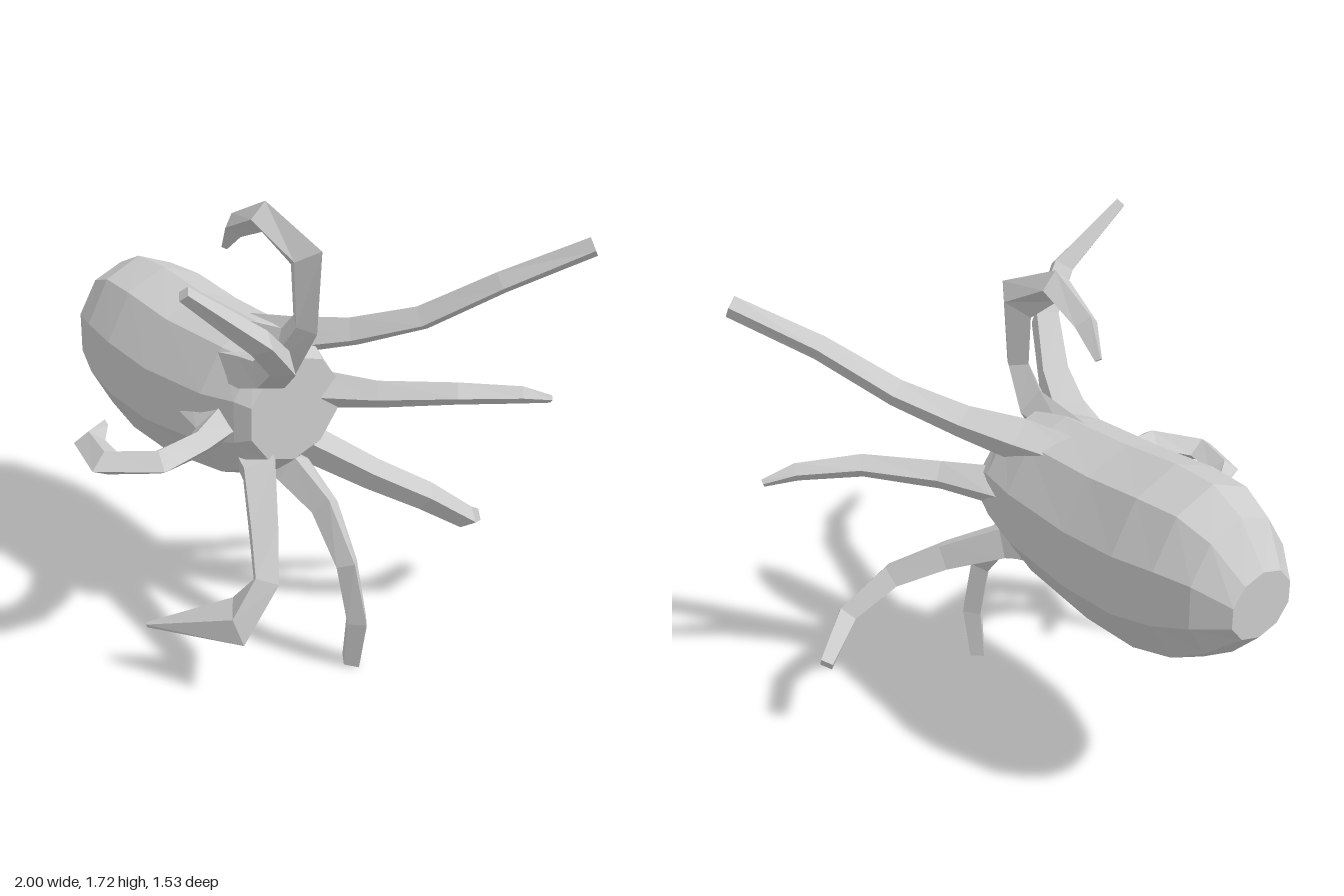
import * as THREE from 'three';

const V = (x, y, z) => new THREE.Vector3(x, y, z);
const AXIS = V(1, 0, 0.3).normalize();

// Closed skin over rings of equal length, each wound counter-clockwise about the path
function loft(name, rings) {
  const n = rings[0].length, last = (rings.length - 1) * n, idx = [];
  for (let i = 0; i < rings.length - 1; i++) {
    for (let j = 0; j < n; j++) {
      const a = i * n + j, b = i * n + (j + 1) % n;
      idx.push(a, b, b + n, a, b + n, a + n);
    }
  }
  for (let j = 1; j < n - 1; j++) {
    idx.push(0, j + 1, j, last, last + j, last + j + 1);
  }
  const geo = new THREE.BufferGeometry().setFromPoints(rings.flat());
  geo.setIndex(idx);
  const flat = geo.toNonIndexed();
  flat.computeVertexNormals();
  const mesh = new THREE.Mesh(flat, new THREE.MeshStandardMaterial({ color: 0xcccccc, flatShading: true }));
  mesh.name = name;
  return mesh;
}

function ring(c, u, v, ru, rv, sides) {
  return Array.from({ length: sides }, (_, j) => {
    const a = j * 2 * Math.PI / sides;
    return c.clone().addScaledVector(u, ru * Math.cos(a)).addScaledVector(v, rv * Math.sin(a));
  });
}

// Four-sided blade through [x, y, z, half width in the bending plane, half width across it]
function arm(name, points) {
  const pts = points.map(p => V(p[0], p[1], p[2])), n = pts.length;
  const across = AXIS.clone().cross(pts[2].clone().sub(pts[0])).normalize();
  const rings = pts.map((p, i) => {
    const t = pts[Math.min(i + 1, n - 1)].clone().sub(pts[Math.max(i - 1, 0)]).normalize();
    const v = across.clone().addScaledVector(t, -across.dot(t)).normalize();
    return ring(p, v.clone().cross(t), v, points[i][3], points[i][4], 4);
  });
  return loft(name, rings);
}

export function createModel() {
  const group = new THREE.Group();
  group.name = 'octopus';

  // Body: centre x, y, z, then half height and half width
  const up = V(0, 1, 0), side = AXIS.clone().cross(up);
  const sections = [
    [-0.965, 0.965, -0.36, 0.12, 0.13],
    [-0.86, 0.98, -0.33, 0.25, 0.21],
    [-0.74, 0.967, -0.295, 0.325, 0.255],
    [-0.58, 0.945, -0.25, 0.35, 0.28],
    [-0.35, 0.925, -0.18, 0.34, 0.28],
    [-0.05, 0.94, -0.10, 0.31, 0.265],
    [0.09, 0.965, -0.07, 0.26, 0.235],
    [0.15, 0.97, -0.06, 0.2, 0.21]
  ];
  group.add(loft('body', sections.map(([x, y, z, h, w]) => ring(V(x, y, z), up, side, h, w, 10))));

  // Eight arms around the mouth, their roots running back into the body
  const arms = {
    upperFrontArm: [[-0.2, 1.1, -0.02, 0.05, 0.06], [0.06, 1.15, 0.08, 0.08, 0.08], [0.21, 1.22, 0.2, 0.07, 0.06],
      [0.36, 1.36, 0.36, 0.065, 0.05], [0.4, 1.5, 0.53, 0.06, 0.045], [0.29, 1.71, 0.76, 0.025, 0.025]],
    topArm: [[-0.15, 1.17, -0.1, 0.07, 0.07], [0.14, 1.2, -0.02, 0.09, 0.06], [0.23, 1.34, 0.01, 0.065, 0.04],
      [0.23, 1.58, 0.01, 0.09, 0.055], [0.04, 1.68, -0.02, 0.055, 0.06], [-0.12, 1.6, -0.08, 0.045, 0.045], [-0.19, 1.5, -0.11, 0.015, 0.015]],
    upperBackArm: [[-0.25, 1.15, -0.19, 0.06, 0.07], [0.05, 1.18, -0.22, 0.08, 0.08], [0.25, 1.22, -0.28, 0.06, 0.06],
      [0.48, 1.3, -0.36, 0.055, 0.05], [0.72, 1.45, -0.47, 0.045, 0.045], [0.98, 1.59, -0.615, 0.03, 0.04]],
    backArm: [[-0.1, 0.98, -0.24, 0.07, 0.07], [0.12, 0.98, -0.23, 0.08, 0.08], [0.35, 0.99, -0.3, 0.05, 0.055],
      [0.6, 1.01, -0.43, 0.045, 0.045], [0.78, 0.995, -0.58, 0.03, 0.035], [0.86, 0.965, -0.67, 0.01, 0.015]],
    lowerBackArm: [[-0.1, 0.82, -0.22, 0.07, 0.07], [0.12, 0.76, -0.21, 0.08, 0.07], [0.34, 0.66, -0.3, 0.065, 0.06],
      [0.51, 0.57, -0.41, 0.06, 0.055], [0.61, 0.44, -0.56, 0.05, 0.045], [0.56, 0.34, -0.74, 0.03, 0.035]],
    bottomArm: [[-0.1, 0.74, -0.13, 0.06, 0.07], [0.12, 0.7, -0.1, 0.08, 0.075], [0.29, 0.62, -0.05, 0.065, 0.055],
      [0.42, 0.45, 0, 0.055, 0.045], [0.465, 0.22, -0.01, 0.055, 0.045], [0.44, 0.02, -0.02, 0.045, 0.035]],
    lowerFrontArm: [[-0.1, 0.86, -0.02, 0.06, 0.06], [0.07, 0.75, 0.05, 0.09, 0.075], [0.18, 0.59, 0.18, 0.075, 0.06],
      [0.26, 0.46, 0.28, 0.065, 0.055], [0.21, 0.33, 0.38, 0.09, 0.045], [-0.14, 0.225, 0.46, 0.01, 0.01]],
    frontArm: [[-0.25, 0.93, 0.04, 0.06, 0.06], [-0.04, 0.93, 0.13, 0.09, 0.075], [-0.03, 0.92, 0.28, 0.05, 0.05],
      [-0.06, 0.92, 0.46, 0.075, 0.045], [-0.23, 0.9, 0.54, 0.07, 0.045], [-0.38, 0.9, 0.45, 0.055, 0.04], [-0.435, 0.89, 0.3, 0.012, 0.02]]
  };
  for (const [name, points] of Object.entries(arms)) group.add(arm(name, points));
  return group;
}
